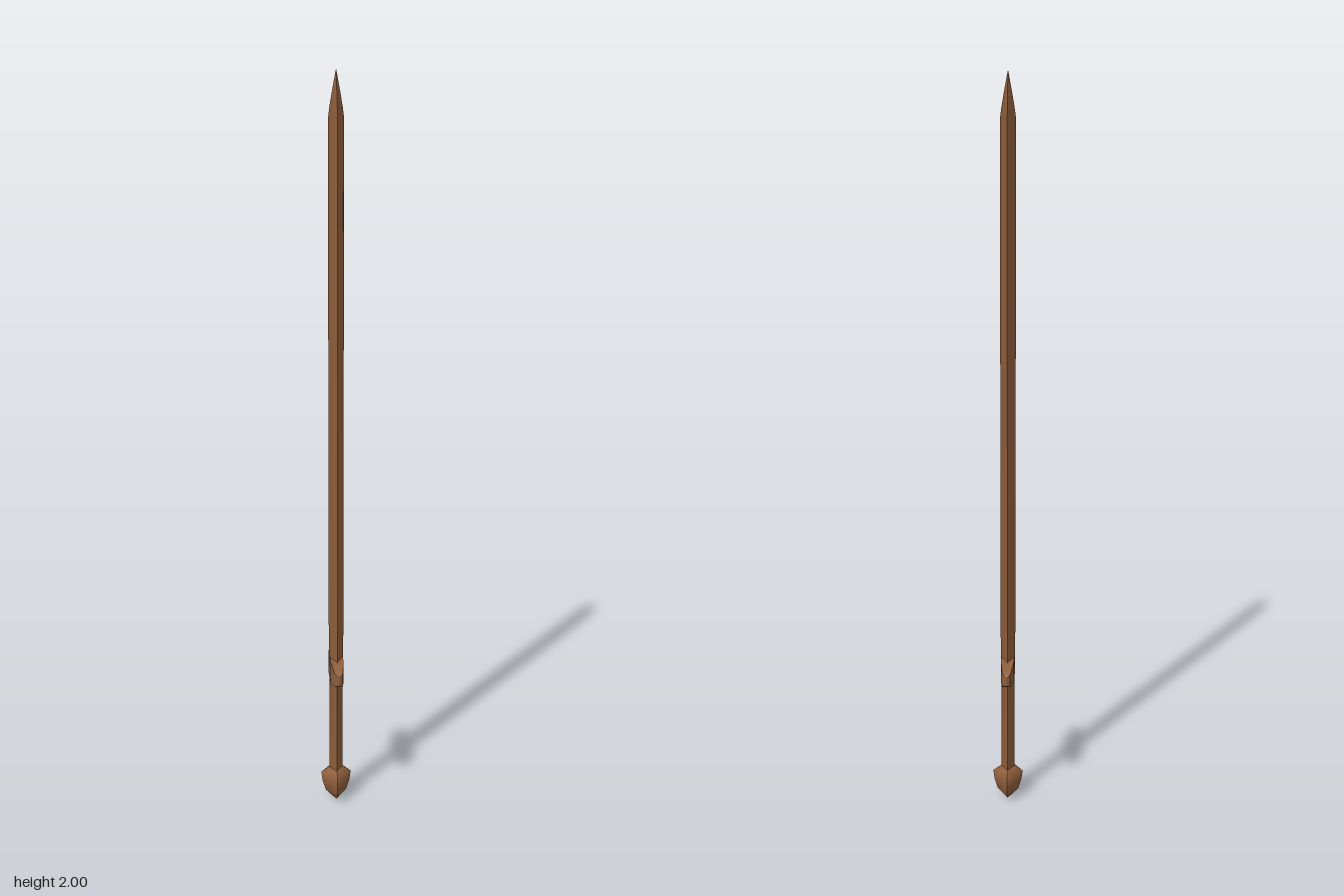
import * as THREE from 'three';
import { toCreasedNormals } from 'three/addons/utils/BufferGeometryUtils.js';

const wood = new THREE.MeshStandardMaterial({ color: 0x8f5e3c });
wood.name = 'brownWood';

// Skin a list of equal-sized rings (anticlockwise seen from the far end) and close both ends
function loft(rings) {
  const n = rings[0].length;
  const last = (rings.length - 1) * n;
  const index = [];
  for (let i = 0; i < rings.length - 1; i++) {
    for (let j = 0; j < n; j++) {
      const a = i * n + j, b = i * n + (j + 1) % n;
      index.push(a, b, b + n, a, b + n, a + n);
    }
  }
  for (let j = 1; j < n - 1; j++) {
    index.push(0, j + 1, j, last, last + j, last + j + 1);
  }
  const geometry = new THREE.BufferGeometry();
  geometry.setAttribute('position', new THREE.Float32BufferAttribute(rings.flat(2), 3));
  geometry.setIndex(index);
  return toCreasedNormals(geometry, THREE.MathUtils.degToRad(62));
}

// Diamond cross-section at height y
const diamond = ([y, hx, hz]) => [[hx, y, 0], [0, y, -hz], [-hx, y, 0], [0, y, hz]];

// Rectangular cross-section at depth z
const slab = ([z, hx, low, high]) => [[hx, low, z], [hx, high, z], [-hx, high, z], [-hx, low, z]];

export function createModel() {
  const sword = new THREE.Group();
  sword.name = 'sword';
  const add = (name, rings) => {
    const mesh = new THREE.Mesh(loft(rings), wood);
    mesh.name = name;
    sword.add(mesh);
  };

  // Long diamond blade with a curved point
  add('blade', [
    [0.41, 0.02, 0.04], [1.885, 0.02, 0.04], [1.915, 0.016, 0.034],
    [1.95, 0.01, 0.022], [2, 0.0005, 0.0005],
  ].map(diamond));

  // Guard tapering to a wedge at each end
  const half = [[0.032, 0.018, 0.373, 0.438], [0.09, 0.011, 0.39, 0.428], [0.1, 0.001, 0.397, 0.422]];
  const mirrored = half.map(([z, ...rest]) => [-z, ...rest]).reverse();
  add('guard', [...mirrored, ...half].map(slab));

  // Slim diamond grip
  add('grip', [[0.07, 0.018, 0.03], [0.4, 0.018, 0.03]].map(diamond));

  // Faceted pommel
  add('pommel', [
    [0, 0.01, 0.018], [0.02, 0.029, 0.046], [0.05, 0.038, 0.055],
    [0.078, 0.042, 0.055], [0.094, 0.02, 0.034],
  ].map(diamond));

  return sword;
}
